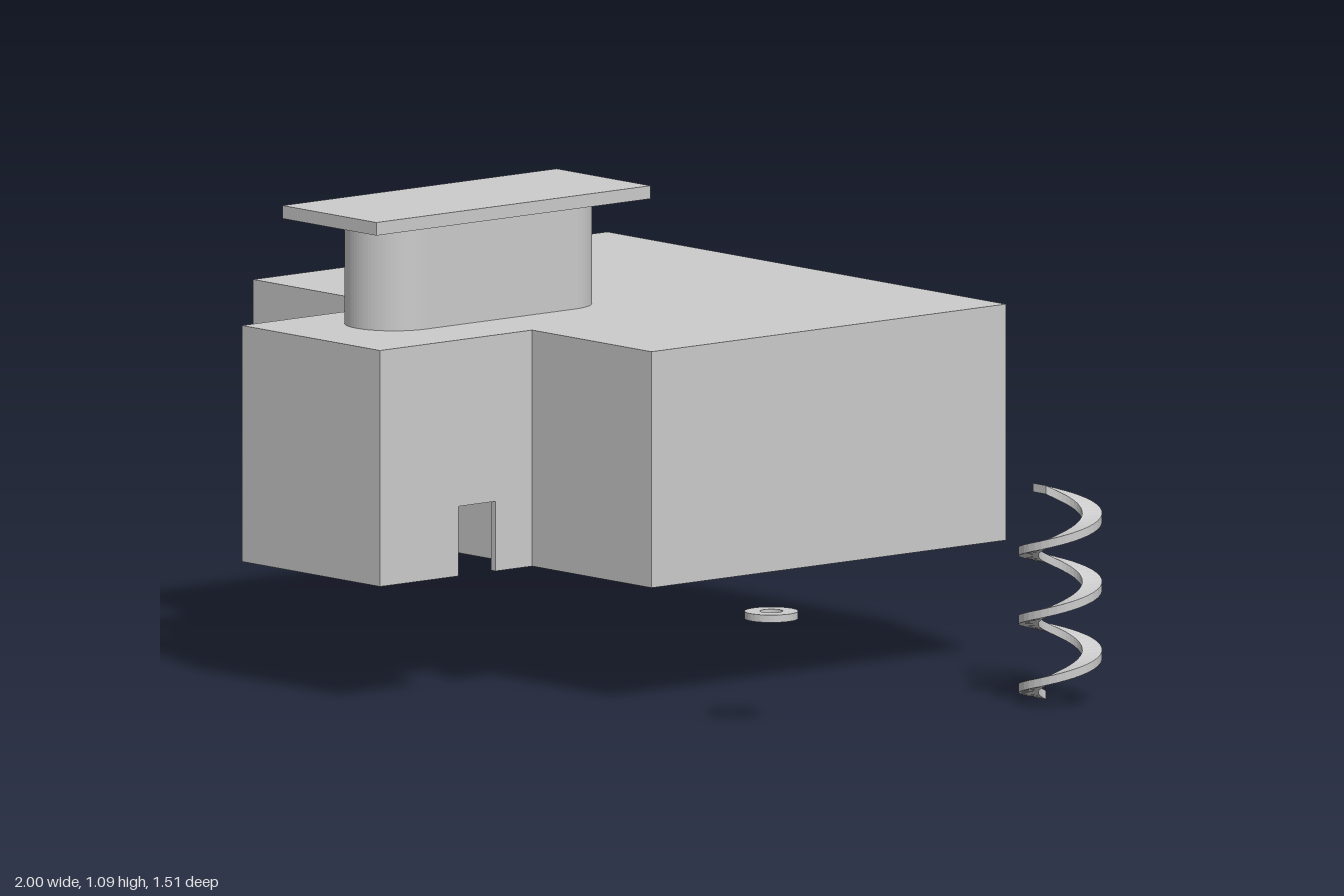
import * as THREE from 'three';

const material = new THREE.MeshStandardMaterial({ color: 0xcccccc, flatShading: true, side: THREE.DoubleSide });
const smooth = new THREE.MeshStandardMaterial({ color: 0xcccccc, side: THREE.DoubleSide });

function add(parent, name, geometry, mat = material) {
  const mesh = new THREE.Mesh(geometry, mat);
  mesh.name = name;
  parent.add(mesh);
  return mesh;
}

// Plan outlines are given as [x, z] and raised from y0 to y1
const plan = (points) => points.map(([x, z]) => new THREE.Vector2(x, -z));

function raise(shape, y0, y1, segments = 16) {
  const g = new THREE.ExtrudeGeometry(shape, { depth: y1 - y0, bevelEnabled: false, curveSegments: segments });
  return g.rotateX(-Math.PI / 2).translate(0, y0, 0);
}

function roundHole(x, z, r) {
  const path = new THREE.Path();
  path.absarc(x, -z, r, 0, Math.PI * 2, true);
  return path;
}

// Flat ribbon swept round a helix
function coil(radius, width, thick, pitch, turns, startAngle) {
  const steps = Math.round(turns * 32), pos = [], idx = [];
  for (let i = 0; i <= steps; i++) {
    const t = (i / 32) * Math.PI * 2, a = startAngle + t;
    const y = thick / 2 + (pitch * i) / 32;
    for (const [u, v] of [[-1, -1], [1, -1], [1, 1], [-1, 1]]) {
      const r = radius + (u * width) / 2;
      pos.push(-Math.cos(a) * r, y + (v * thick) / 2, Math.sin(a) * r);
    }
    if (i === steps) continue;
    for (let k = 0; k < 4; k++) {
      const p = i * 4 + k, q = i * 4 + ((k + 1) % 4);
      idx.push(p, q, p + 4, q, q + 4, p + 4);
    }
  }
  const e = steps * 4;
  idx.push(0, 2, 1, 0, 3, 2, e, e + 1, e + 2, e, e + 2, e + 3);
  const g = new THREE.BufferGeometry();
  g.setAttribute('position', new THREE.Float32BufferAttribute(pos, 3));
  g.setIndex(idx);
  const flat = g.toNonIndexed();
  flat.computeVertexNormals();
  return flat;
}

export function createModel() {
  const model = new THREE.Group();
  model.name = 'pushButtonHousing';

  const outline = [[-1, -0.76], [-1, 0.3], [-0.51, 0.3], [-0.51, 0.755], [-0.03, 0.755],
    [-0.03, 0.3], [0.385, 0.3], [0.385, -0.76]];
  const mainPocket = [[-0.985, -0.745], [0.37, -0.745], [0.37, 0.285], [-0.985, 0.285]];
  const frontPocket = [[-0.495, 0.3], [-0.045, 0.3], [-0.045, 0.74], [-0.495, 0.74]];

  // Lower walls, with the notch opening into the front pocket
  const notched = [...outline.slice(0, 5), [-0.03, 0.52], [-0.045, 0.52], [-0.045, 0.74], [-0.495, 0.74],
    [-0.495, 0.3], [-0.045, 0.3], [-0.045, 0.41], [-0.03, 0.41], ...outline.slice(5)];
  const housing = new THREE.Group();
  housing.name = 'housing';
  model.add(housing);
  const lower = new THREE.Shape(plan(notched));
  lower.holes.push(new THREE.Path(plan(mainPocket)));
  add(housing, 'lowerWalls', raise(lower, 0.28, 0.44));

  // Upper walls
  const upper = new THREE.Shape(plan(outline));
  upper.holes.push(new THREE.Path(plan(mainPocket)), new THREE.Path(plan(frontPocket)));
  add(housing, 'upperWalls', raise(upper, 0.44, 0.805));

  // Roof with the stem bore
  const bx = -0.31, z0 = 0.027, z1 = 0.473, r = 0.112, bore = 0.065;
  const roof = new THREE.Shape(plan(outline));
  roof.holes.push(roundHole(bx, z0, bore));
  add(housing, 'roof', raise(roof, 0.805, 0.822));

  // Button stem with rounded ends, and its flat cap
  const button = new THREE.Group();
  button.name = 'button';
  model.add(button);
  const stem = new THREE.Shape();
  stem.absarc(bx, -z0, r, 0, Math.PI, false);
  stem.absarc(bx, -z1, r, Math.PI, Math.PI * 2, false);
  stem.closePath();
  stem.holes.push(roundHole(bx, z0, bore));
  add(button, 'stem', raise(stem, 0.822, 1.06, 20), smooth);
  add(button, 'cap', new THREE.BoxGeometry(0.326, 0.03, 0.82)).position.set(-0.322, 1.075, 0.245);

  // Loose coil spring and the one inside the front pocket
  add(model, 'looseSpring', coil(0.0725, 0.045, 0.02, 0.157, 3, 0)).position.set(0.903, 0, -0.477);
  add(model, 'innerSpring', coil(0.0725, 0.045, 0.02, 0.157, 3, -Math.PI / 2 - 0.35))
    .position.set(-0.31, 0.265, 0.475);

  // Loose washer
  const washer = new THREE.Shape();
  washer.absarc(0.74, -0.247, 0.061, 0, Math.PI * 2, false);
  washer.holes.push(roundHole(0.74, 0.247, 0.026));
  add(model, 'washer', raise(washer, 0.247, 0.264), smooth);

  return model;
}
